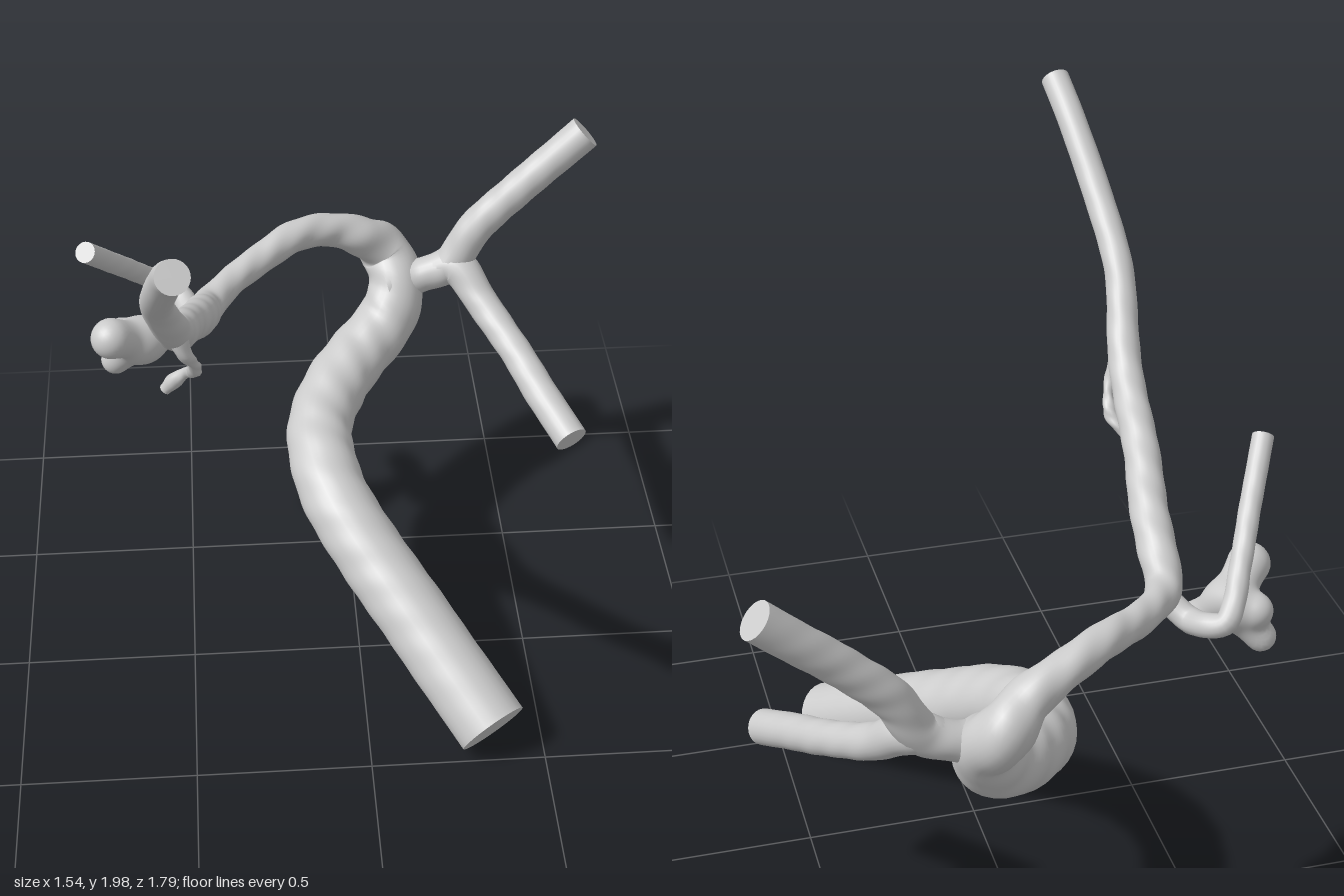
import * as THREE from 'three';
import { mergeVertices } from 'three/addons/utils/BufferGeometryUtils.js';

const material = new THREE.MeshStandardMaterial({ color: 0xcccccc, roughness: 0.8 });

// Tube of changing radius through points [x, y, z, radius], with flat end caps.
// lump gives the wall a slight organic unevenness away from the cut ends.
function vessel(name, points, segments, sides = 24, lump = 0) {
  const curve = new THREE.CatmullRomCurve3(
    points.map(([x, y, z]) => new THREE.Vector3(x, y, z)), false, 'centripetal');
  const frames = curve.computeFrenetFrames(segments, false);
  const pos = [], index = [];
  const addRing = (i) => {
    const u = i / segments;
    const p = curve.getPointAt(u);
    const t = curve.getUtoTmapping(u) * (points.length - 1);
    const k = Math.min(Math.floor(t), points.length - 2);
    const radius = THREE.MathUtils.lerp(points[k][3], points[k + 1][3], THREE.MathUtils.smoothstep(t - k, 0, 1));
    for (let j = 0; j < sides; j++) {
      const a = (j / sides) * Math.PI * 2;
      const wave = Math.sin(i * 0.55 + 2 * a) * Math.sin(i * 0.23 + a) * Math.sin(Math.PI * u);
      const r = radius * (1 + lump * wave);
      const v = p.clone()
        .addScaledVector(frames.normals[i], r * Math.cos(a))
        .addScaledVector(frames.binormals[i], r * Math.sin(a));
      pos.push(v.x, v.y, v.z);
    }
    return p;
  };
  for (let i = 0; i <= segments; i++) addRing(i);
  for (let i = 0; i < segments; i++) {
    for (let j = 0; j < sides; j++) {
      const a = i * sides + j, b = i * sides + ((j + 1) % sides);
      index.push(a, b, a + sides, b, b + sides, a + sides);
    }
  }
  // caps own their vertices so that the rims stay sharp
  for (const end of [0, segments]) {
    const first = pos.length / 3;
    const c = addRing(end);
    pos.push(c.x, c.y, c.z);
    for (let j = 0; j < sides; j++) {
      const a = first + j, b = first + ((j + 1) % sides);
      if (end === 0) index.push(first + sides, b, a);
      else index.push(first + sides, a, b);
    }
  }
  const geometry = new THREE.BufferGeometry();
  geometry.setAttribute('position', new THREE.Float32BufferAttribute(pos, 3));
  geometry.setIndex(index);
  geometry.computeVertexNormals();
  const mesh = new THREE.Mesh(geometry, material);
  mesh.name = name;
  return mesh;
}

// Lobed sac: a sphere pushed out to a smooth union of lobes reaching from its centre.
function lobedSac(name, centre, core, lobes) {
  const tips = lobes.map(([x, y, z, r]) => ({ v: new THREE.Vector3(x, y, z).sub(centre), r }));
  const blend = 0.014;
  const distance = (p) => {
    let sum = Math.exp(-(p.length() - core) / blend);
    for (const { v, r } of tips) {
      const h = THREE.MathUtils.clamp(p.dot(v) / v.lengthSq(), 0, 1);
      const radius = THREE.MathUtils.lerp(core * 0.7, r, h);
      sum += Math.exp(-(p.distanceTo(v.clone().multiplyScalar(h)) - radius) / blend);
    }
    return -blend * Math.log(sum);
  };
  let geometry = new THREE.IcosahedronGeometry(1, 20);
  geometry.deleteAttribute('uv');
  geometry.deleteAttribute('normal');
  geometry = mergeVertices(geometry, 1e-4);
  const attribute = geometry.attributes.position;
  const dir = new THREE.Vector3();
  for (let i = 0; i < attribute.count; i++) {
    dir.fromBufferAttribute(attribute, i).normalize();
    let reach = 0.35;
    for (let s = 0; s < 60; s++) reach -= distance(dir.clone().multiplyScalar(reach)) * 0.7;
    dir.multiplyScalar(reach).add(centre);
    attribute.setXYZ(i, dir.x, dir.y, dir.z);
  }
  geometry.computeVertexNormals();
  const mesh = new THREE.Mesh(geometry, material);
  mesh.name = name;
  return mesh;
}

export function createModel() {
  const model = new THREE.Group();
  model.name = 'branchingVessel';

  // thick inlet, backward bulge, arch and long rising outlet in one run
  model.add(vessel('mainVessel', [
    [0.35, 0.10, 0.465, 0.104], [0.22, 0.222, 0.285, 0.104], [0.09, 0.345, 0.105, 0.104],
    [-0.02, 0.45, -0.05, 0.102], [-0.085, 0.53, -0.2, 0.1], [-0.095, 0.57, -0.35, 0.098],
    [-0.045, 0.62, -0.5, 0.098], [0.05, 0.67, -0.62, 0.095], [0.135, 0.74, -0.7, 0.092],
    [0.17, 0.83, -0.755, 0.084], [0.135, 0.91, -0.815, 0.078], [0.065, 0.98, -0.79, 0.062],
    [-0.03, 1.03, -0.76, 0.051], [-0.15, 1.05, -0.695, 0.048], [-0.26, 1.03, -0.605, 0.045],
    [-0.35, 1.01, -0.515, 0.043], [-0.415, 1.0, -0.42, 0.05], [-0.43, 1.055, -0.3, 0.054],
    [-0.445, 1.12, -0.18, 0.053], [-0.475, 1.22, 0, 0.05], [-0.495, 1.34, 0.2, 0.047],
    [-0.53, 1.56, 0.4, 0.042], [-0.515, 1.735, 0.6, 0.042], [-0.49, 1.88, 0.76, 0.041],
    [-0.475, 1.96, 0.875, 0.041],
  ], 280, 28, 0.05));

  // left fork: a short stem that splits into an upper and a lower branch
  model.add(vessel('upperFork', [
    [0.14, 0.83, -0.74, 0.07], [0.25, 0.86, -0.75, 0.053], [0.33, 0.895, -0.745, 0.056],
    [0.4, 1.01, -0.752, 0.054], [0.5, 1.115, -0.76, 0.052], [0.62, 1.222, -0.773, 0.052],
    [0.735, 1.325, -0.785, 0.053],
  ], 70, 24, 0.03));
  model.add(vessel('lowerFork', [
    [0.26, 0.87, -0.75, 0.045], [0.35, 0.895, -0.735, 0.058], [0.42, 0.82, -0.65, 0.05],
    [0.5, 0.745, -0.52, 0.048], [0.575, 0.67, -0.365, 0.05], [0.65, 0.6, -0.22, 0.05],
  ], 60, 24, 0.03));

  // thin right branch that hooks back before running straight
  model.add(vessel('hookedBranch', [
    [-0.42, 0.97, -0.43, 0.035], [-0.465, 0.935, -0.485, 0.036], [-0.49, 0.95, -0.545, 0.034],
    [-0.53, 0.97, -0.578, 0.032], [-0.563, 1.01, -0.55, 0.031], [-0.6, 1.075, -0.485, 0.03],
    [-0.67, 1.197, -0.36, 0.03], [-0.743, 1.32, -0.235, 0.03],
  ], 70, 20, 0.03));

  // lobed swelling beside the hooked branch
  model.add(lobedSac('lobedSac', new THREE.Vector3(-0.61, 0.905, -0.395), 0.062, [
    [-0.695, 0.97, -0.315, 0.06], [-0.695, 0.81, -0.435, 0.043],
    [-0.675, 0.9, -0.44, 0.045], [-0.49, 0.915, -0.455, 0.046],
  ]));

  // tiny twisted twig under the outlet
  model.add(vessel('twig', [
    [-0.49, 1.36, 0.24, 0.03], [-0.475, 1.31, 0.248, 0.021], [-0.455, 1.26, 0.225, 0.014],
    [-0.45, 1.21, 0.185, 0.02], [-0.475, 1.17, 0.145, 0.015], [-0.51, 1.13, 0.125, 0.022],
    [-0.535, 1.1, 0.12, 0.016],
  ], 50, 14, 0.15));

  return model;
}
